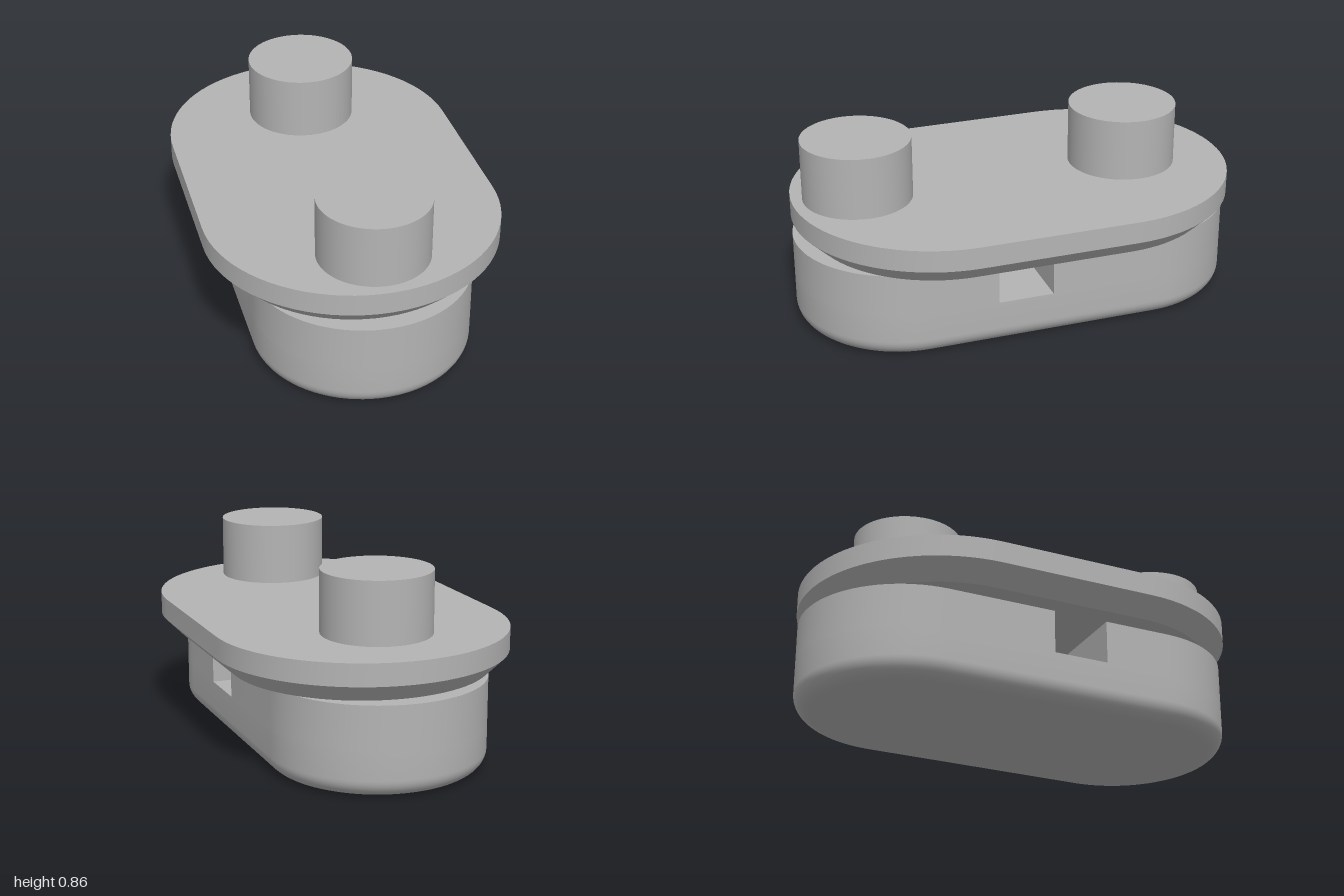
import * as THREE from 'three';
import { toCreasedNormals } from 'three/addons/utils/BufferGeometryUtils.js';

const ARC_STEPS = 40;

// Half circle of radius r around (0, c) in the x-z plane, as [x, z] points
function arc(r, c, start) {
  return Array.from({ length: ARC_STEPS + 1 }, (_, i) => {
    const t = start + (Math.PI * i) / ARC_STEPS;
    return [r * Math.cos(t), c + r * Math.sin(t)];
  });
}

const stadium = (r, c) => [...arc(r, c, 0), ...arc(r, -c, Math.PI)];

// Joins convex outlines stacked in y; levels are { y, points }
function loft(levels, capBottom, capTop) {
  const n = levels[0].points.length;
  const positions = [];
  const index = [];
  for (const { y, points } of levels) {
    for (const [x, z] of points) positions.push(x, y, z);
  }
  for (let k = 0; k < levels.length - 1; k++) {
    for (let i = 0; i < n; i++) {
      const a = k * n + i;
      const b = k * n + ((i + 1) % n);
      index.push(a, a + n, b, b, a + n, b + n);
    }
  }
  const top = (levels.length - 1) * n;
  for (let i = 1; i < n - 1; i++) {
    if (capBottom) index.push(0, i, i + 1);
    if (capTop) index.push(top, top + i + 1, top + i);
  }
  const geometry = new THREE.BufferGeometry();
  geometry.setAttribute('position', new THREE.Float32BufferAttribute(positions, 3));
  geometry.setIndex(index);
  return toCreasedNormals(geometry, 0.5);
}

export function createModel() {
  const group = new THREE.Group();
  group.name = 'slottedBlockWithPosts';
  const grey = new THREE.MeshStandardMaterial({ color: 0xb4b4b4 });
  grey.name = 'plainGrey';

  const add = (name, geometry) => {
    const mesh = new THREE.Mesh(geometry, grey);
    mesh.name = name;
    group.add(mesh);
    return mesh;
  };

  // Body: rounded bottom edge, with a slot cut across under the plate
  const bodyR = 0.48, bodyC = 0.52, bodyTop = 0.4, fillet = 0.08;
  const slotFloor = 0.205, slotFront = 0.22, slotBack = -0.03;

  const levels = [];
  for (let i = 0; i <= 10; i++) {
    const t = (i / 10) * (Math.PI / 2);
    levels.push({
      y: fillet * (1 - Math.cos(t)),
      points: stadium(bodyR - fillet * (1 - Math.sin(t)), bodyC),
    });
  }
  levels.push({ y: slotFloor, points: stadium(bodyR, bodyC) });
  add('bodyLower', loft(levels, true, false));

  // Upper body halves on either side of the slot
  const frontHalf = [...arc(bodyR, bodyC, 0), [-bodyR, slotFront], [bodyR, slotFront]];
  const backHalf = [...arc(bodyR, -bodyC, Math.PI), [bodyR, slotBack], [-bodyR, slotBack]];
  const raise = (points) =>
    loft([{ y: slotFloor, points }, { y: bodyTop, points }], false, true);
  add('bodyUpperFront', raise(frontHalf));
  add('bodyUpperBack', raise(backHalf));

  const floor = new THREE.PlaneGeometry(2 * bodyR, slotFront - slotBack).rotateX(-Math.PI / 2);
  add('slotFloor', floor).position.set(0, slotFloor, (slotFront + slotBack) / 2);

  // Wide plate with a chamfered underside
  const plateC = 0.35, plateTop = 0.578;
  add('plate', loft([
    { y: bodyTop, points: stadium(0.57, plateC) },
    { y: 0.48, points: stadium(0.65, plateC) },
    { y: plateTop, points: stadium(0.65, plateC) },
  ], true, true));

  // Round posts
  const postHeight = 0.277;
  for (const [name, z] of [['frontPost', 0.71], ['backPost', -0.53]]) {
    const post = add(name, new THREE.CylinderGeometry(0.242, 0.242, postHeight, 64));
    post.position.set(0, plateTop + postHeight / 2, z);
  }

  return group;
}
